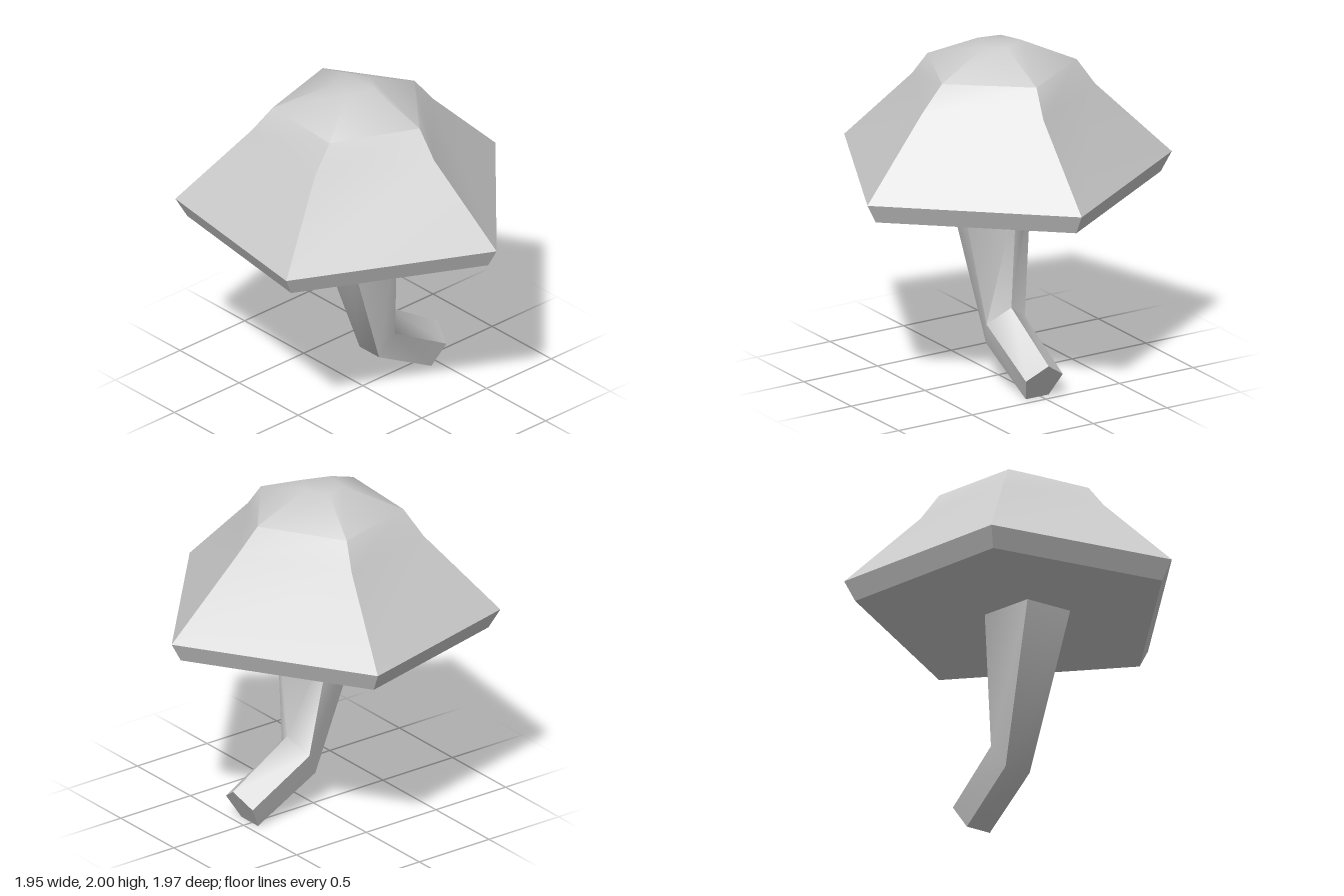
import * as THREE from 'three';
import { toCreasedNormals } from 'three/addons/utils/BufferGeometryUtils.js';

// Skin a closed solid over cross-section rings listed from bottom to top.
function loft(name, rings, creaseAngle) {
  const n = rings[0].length;
  const last = (rings.length - 1) * n;
  const index = [];
  for (let r = 0; r < rings.length - 1; r++) {
    for (let j = 0; j < n; j++) {
      const a = r * n + j, b = r * n + (j + 1) % n;
      index.push(a, a + n, b, b, a + n, b + n);
    }
  }
  for (let j = 1; j < n - 1; j++) {
    index.push(0, j, j + 1, last, last + j + 1, last + j);
  }
  const geometry = new THREE.BufferGeometry();
  geometry.setAttribute('position', new THREE.Float32BufferAttribute(rings.flat(2), 3));
  geometry.setIndex(index);
  const mesh = new THREE.Mesh(
    toCreasedNormals(geometry, THREE.MathUtils.degToRad(creaseAngle)),
    new THREE.MeshStandardMaterial({ color: 0xcccccc })
  );
  mesh.name = name;
  return mesh;
}

// Horizontal ring at height y from [x, z] corners.
const level = (y, corners, scale = 1) => corners.map(([x, z]) => [x * scale, y, z * scale]);

// Five-sided ring mirrored about z = zMid: an inner ridge, two sides, two outer corners.
function stemRing(zMid, [rx, ry], [sx, sy, sz], [ox, oy, oz]) {
  return [
    [rx, ry, zMid],
    [sx, sy, zMid + sz],
    [ox, oy, zMid + oz],
    [ox, oy, zMid - oz],
    [sx, sy, zMid - sz],
  ];
}

export function createModel() {
  const model = new THREE.Group();
  model.name = 'mushroom';

  // Cap: bevelled rim, slightly irregular slopes and a small flat crown
  const rim = [[0.29, -0.99], [0.97, 0.06], [0.14, 0.98], [-0.975, 0.42], [-0.81, -0.7]];
  model.add(loft('cap', [
    level(1.135, rim, 0.936),
    level(1.25, rim),
    level(1.7, [[0.15, -0.56], [0.52, 0.03], [0.05, 0.55], [-0.57, 0.22], [-0.48, -0.41]]),
    level(1.855, [[0.11, -0.46], [0.4, 0], [0.055, 0.42], [-0.44, 0.2], [-0.405, -0.32]]),
    level(2, [[0, -0.15], [0.07, -0.01], [0, 0.1], [-0.16, 0.04], [-0.13, -0.1]]),
  ], 40));

  // Stem: tapers down to a bend, then kicks out to one side
  model.add(loft('stem', [
    stemRing(0.02, [0.56, 0.22], [0.515, 0.137, 0.125], [0.44, 0, 0.078]),
    stemRing(0.022, [0.17, 0.46], [0.11, 0.365, 0.13], [0.03, 0.22, 0.082]),
    stemRing(0.03, [0.235, 1.135], [0.025, 1.135, 0.235], [-0.285, 1.135, 0.145]),
  ], 65));

  return model;
}
